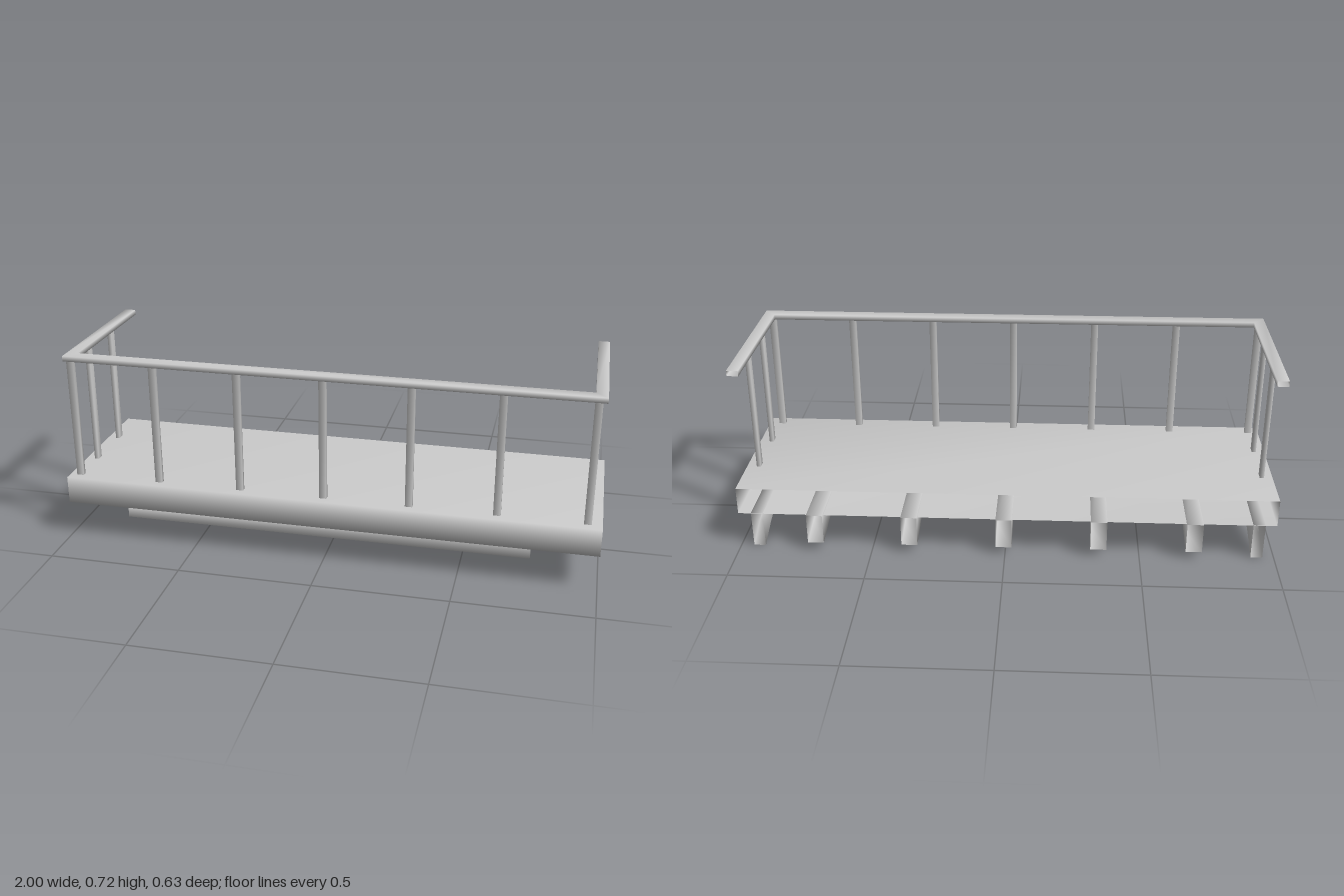
import * as THREE from 'three';
import { mergeVertices } from 'three/addons/utils/BufferGeometryUtils.js';

const material = new THREE.MeshStandardMaterial({ color: 0xcccccc, side: THREE.DoubleSide });

// Welds a geometry for soft shading; openBack drops the faces lying on its rearmost plane.
function soften(geometry, openBack = false) {
  const source = geometry.index ? geometry.toNonIndexed() : geometry;
  const p = source.attributes.position;
  source.computeBoundingBox();
  const back = source.boundingBox.min.z + 1e-4;
  const kept = [];
  for (let i = 0; i < p.count; i += 3) {
    const onBack = [0, 1, 2].every((k) => p.getZ(i + k) < back);
    if (openBack && onBack) continue;
    for (let k = 0; k < 3; k++) kept.push(p.getX(i + k), p.getY(i + k), p.getZ(i + k));
  }
  const result = new THREE.BufferGeometry();
  result.setAttribute('position', new THREE.Float32BufferAttribute(kept, 3));
  const welded = mergeVertices(result, 1e-4);
  welded.computeVertexNormals();
  return welded;
}

// Box given by its extents on each axis
function box([x0, x1], [y0, y1], [z0, z1], openBack) {
  const g = new THREE.BoxGeometry(x1 - x0, y1 - y0, z1 - z0);
  g.translate((x0 + x1) / 2, (y0 + y1) / 2, (z0 + z1) / 2);
  return soften(g, openBack);
}

// Side profile of [z, y] points, given thickness across x
function bracket(profile, width) {
  const shape = new THREE.Shape(profile.map(([z, y]) => new THREE.Vector2(z, y)));
  const g = new THREE.ExtrudeGeometry(shape, { depth: width, bevelEnabled: false });
  g.translate(0, 0, -width / 2);
  g.rotateY(-Math.PI / 2);
  return soften(g, true);
}

export function createModel() {
  const model = new THREE.Group();
  model.name = 'balcony';
  const add = (name, geometry, x = 0, z = 0) => {
    const mesh = new THREE.Mesh(geometry, material);
    mesh.name = name;
    mesh.position.set(x, 0, z);
    model.add(mesh);
  };

  // Floor slab, open towards the wall
  add('floorSlab', box([-1, 1], [0.138, 0.242], [-0.29, 0.315], true));

  // U-shaped handrail with mitred corners
  const outline = [
    [-0.98, -0.307], [-0.938, -0.307], [-0.938, 0.252], [0.935, 0.252],
    [0.935, -0.307], [0.977, -0.307], [0.977, 0.297], [-0.98, 0.297],
  ];
  const rail = new THREE.ExtrudeGeometry(
    new THREE.Shape(outline.map(([x, z]) => new THREE.Vector2(x, z))),
    { depth: 0.02, bevelEnabled: false },
  );
  rail.rotateX(Math.PI / 2);
  rail.translate(0, 0.725, 0);
  add('handrail', soften(rail, true));

  // Front posts
  const frontPost = box([-0.0135, 0.0135], [0.235, 0.71], [-0.008, 0.008]);
  for (let i = 0; i < 7; i++) add('frontPost', frontPost, -0.96 + i * 0.318, 0.274);

  // Side posts
  const sidePost = box([-0.008, 0.008], [0.235, 0.71], [-0.015, 0.015]);
  for (const x of [-0.96, 0.955]) {
    for (const z of [0.114, -0.098]) add('sidePost', sidePost, x, z);
  }

  // Beam under the front edge
  add('frontBeam', box([-0.765, 0.757], [0.094, 0.14], [0.267, 0.302]));

  // Long brackets running out to the beam
  const longBracket = bracket([
    [0.27, 0.141], [-0.313, 0.148], [-0.313, 0.032], [-0.19, 0.06],
    [-0.085, 0.084], [0.02, 0.099], [0.08, 0.107], [0.18, 0.114], [0.27, 0.114],
  ], 0.06);
  for (let i = 0; i < 5; i++) add('longBracket', longBracket, -0.7 + i * 0.3525);

  // Short, deeper brackets at both ends
  const endBracket = bracket([
    [0.07, 0.14], [-0.29, 0.14], [-0.29, 0.001], [-0.19, 0.046],
    [-0.085, 0.076], [0.02, 0.092], [0.07, 0.122],
  ], 0.044);
  for (const x of [-0.936, 0.93]) add('endBracket', endBracket, x);

  return model;
}
